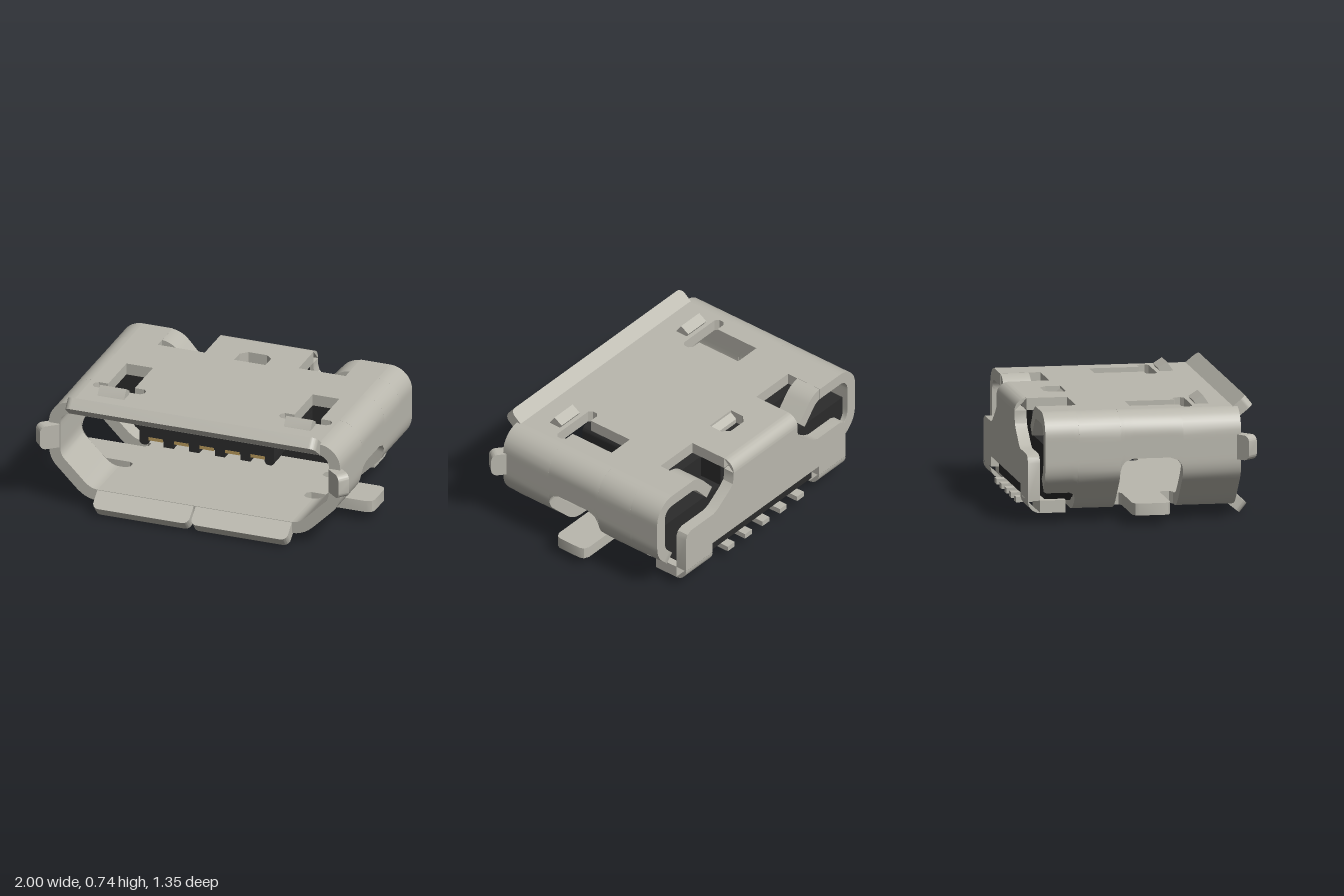
import * as THREE from 'three';
import { toCreasedNormals } from 'three/addons/utils/BufferGeometryUtils.js';

const steel = new THREE.MeshStandardMaterial({ color: 0xbab8ae });
const black = new THREE.MeshStandardMaterial({ color: 0x2b2b2b });
const gold = new THREE.MeshStandardMaterial({ color: 0xb8995a });
const T = 0.072; // sheet thickness

export function createModel() {
  const model = new THREE.Group();
  const add = (name, geo, mat = steel) => {
    const mesh = new THREE.Mesh(toCreasedNormals(geo, 0.5), mat);
    mesh.name = name;
    model.add(mesh);
    return mesh;
  };
  const poly = (pts) => new THREE.Shape(pts.map(([x, y]) => new THREE.Vector2(x, y)));
  const extrude = (shape, depth) =>
    new THREE.ExtrudeGeometry(shape, { depth, bevelEnabled: false, curveSegments: 8 });
  // horizontal plate, outline given as (x, z)
  const slab = (shape, yTop, t) => extrude(shape, t).rotateX(Math.PI / 2).translate(0, yTop, 0);
  // prism along x, outline given as (z, y)
  const prismX = (shape, x0, x1) =>
    extrude(shape, x1 - x0).rotateY(-Math.PI / 2).translate(x1, 0, 0);
  const box = (x0, x1, y0, y1, z0, z1) =>
    new THREE.BoxGeometry(x1 - x0, y1 - y0, z1 - z0)
      .translate((x0 + x1) / 2, (y0 + y1) / 2, (z0 + z1) / 2);
  const mirrored = (pts) => [...pts, ...pts.map(([x, y]) => [-x, y]).reverse()];
  const roundRect = (x0, x1, y0, y1, r) => {
    const s = new THREE.Shape();
    s.absarc(x1 - r, y1 - r, r, 0, Math.PI / 2);
    s.absarc(x0 + r, y1 - r, r, Math.PI / 2, Math.PI);
    s.absarc(x0 + r, y0 + r, r, Math.PI, 1.5 * Math.PI);
    s.absarc(x1 - r, y0 + r, r, 1.5 * Math.PI, 2 * Math.PI);
    return s;
  };

  // top plate with rear cutouts, latch holes and a small centre hole
  const top = poly(mirrored([[0.3, -0.605], [0.3, -0.36], [0.6, -0.36], [0.6, -0.605],
    [0.79, -0.605], [0.79, 0.58]]));
  for (const s of [1, -1]) {
    top.holes.push(poly([[0.51, -0.05], [0.68, -0.05], [0.68, 0.25], [0.74, 0.25], [0.76, 0.27],
      [0.76, 0.3], [0.74, 0.32], [0.45, 0.32], [0.43, 0.3], [0.43, 0.27], [0.45, 0.25],
      [0.51, 0.25]].map(([x, z]) => [x * s, z])));
  }
  top.holes.push(poly([[-0.1, -0.33], [0.1, -0.33], [0.1, -0.42], [0.06, -0.46],
    [-0.06, -0.46], [-0.1, -0.42]]));
  add('topPlate', slab(top, 0.68, T));
  add('centreLance', prismX(poly([[-0.33, 0.665], [-0.33, 0.61], [-0.37, 0.6], [-0.37, 0.635]]), -0.1, 0.1));

  // bent side walls: sections along z, each following the bend down to a given height
  const bend = new THREE.Path();
  bend.moveTo(0.79, 0.68);
  bend.absarc(0.79, 0.54, 0.14, Math.PI / 2, 0, true);
  bend.lineTo(0.93, 0.38);
  bend.quadraticCurveTo(0.93, 0.3, 0.885, 0.255);
  bend.lineTo(0.76, 0.13);
  bend.quadraticCurveTo(0.695, 0.065, 0.62, 0.065);
  const uAtHeight = (y) => {
    if (y <= 0.066) return 1;
    let a = 0, b = 1;
    for (let i = 0; i < 24; i++) {
      const m = (a + b) / 2;
      if (bend.getPointAt(m).y > y) a = m; else b = m;
    }
    return a;
  };
  const drop = [0, 0.08, 0.12, 0.2, 0.26, 0.32];
  const sections = [[0.58, 0], ...drop.map((y) => [0.23, y]),
    [0.222, 0.355], [0.2, 0.385], [0.15, 0.403], [-0.07, 0.403], [-0.12, 0.385], [-0.142, 0.355],
    ...drop.map((y) => [-0.15, y]).reverse(),
    [-0.4, 0], [-0.4, 0.08], [-0.4, 0.14], [-0.41, 0.175], [-0.44, 0.19],
    [-0.58, 0.19], [-0.597, 0.2], [-0.605, 0.225]];
  const N = 30;
  const sideWall = (s) => {
    const pos = [], idx = [], M = 2 * N + 2;
    const tri = (a, b, c) => (s > 0 ? idx.push(a, b, c) : idx.push(a, c, b));
    sections.forEach(([z, y], k) => {
      const uEnd = uAtHeight(y), outer = [], inner = [];
      for (let i = 0; i <= N; i++) {
        const p = bend.getPointAt(uEnd * i / N), t = bend.getTangentAt(uEnd * i / N);
        outer.push([s * p.x, p.y, z]);
        inner.unshift([s * (p.x + T * t.y), p.y - T * t.x, z]);
      }
      pos.push(...outer.flat(), ...inner.flat());
      if (k === 0) return;
      for (let i = 0; i < M; i++) {
        const j = (i + 1) % M, a = (k - 1) * M, b = k * M;
        tri(a + i, a + j, b + j);
        tri(a + i, b + j, b + i);
      }
    });
    const e = (sections.length - 1) * M;
    for (let i = 0; i < N; i++) { // front and rear edges
      const p = M - 1 - i;
      tri(i, p, p - 1); tri(i, p - 1, i + 1);
      tri(e + i, e + p - 1, e + p); tri(e + i, e + i + 1, e + p - 1);
    }
    const g = new THREE.BufferGeometry();
    g.setAttribute('position', new THREE.Float32BufferAttribute(pos, 3));
    g.setIndex(idx);
    return g;
  };

  // bottom plate with solder tabs between rounded slits
  const base = poly(mirrored([[0.62, -0.4], [0.62, -0.15], [0.58, -0.15], [0.555, -0.135],
    [0.555, -0.095], [0.58, -0.08], [0.93, -0.08], [0.96, -0.065], [0.97, -0.04], [0.97, 0.11],
    [0.96, 0.135], [0.93, 0.15], [0.58, 0.15], [0.555, 0.165], [0.555, 0.21], [0.58, 0.23],
    [0.62, 0.23], [0.62, 0.58]]));
  add('bottomPlate', slab(base, 0.065 + T, T));
  for (const z of [-0.13, 0.42]) add('bottomLatchStrip', box(-0.24, 0.24, 0.061, 0.07, z - 0.035, z + 0.035));

  // flared lips around the mouth
  const lip = (w, len, r = 0.04) => {
    const s = new THREE.Shape();
    s.moveTo(-w / 2, 0);
    s.lineTo(w / 2, 0);
    s.absarc(w / 2 - r, len - r, r, 0, Math.PI / 2);
    s.absarc(-w / 2 + r, len - r, r, Math.PI / 2, Math.PI);
    return extrude(s, T).translate(0, 0, -T / 2);
  };
  add('topLip', lip(1.6, 0.125).rotateX(0.89).translate(0, 0.635, 0.555));
  for (const s of [1, -1]) {
    add('sideWall', sideWall(s));
    add('bottomLip', lip(0.615, 0.125).rotateX(Math.PI - 0.89).translate(s * 0.314, 0.108, 0.555));
    add('sideLip', lip(0.15, 0.125).rotateZ(-s * Math.PI / 2).rotateY(-s * 0.7)
      .translate(s * 0.882, 0.455, 0.562));

    // raised latch tips on the top
    const x0 = s > 0 ? 0.51 : -0.68;
    add('latchTip', prismX(poly([[0.43, 0.675], [0.425, 0.685], [0.39, 0.735], [0.335, 0.7],
      [0.35, 0.675], [0.32, 0.62], [0.38, 0.61]]), x0, x0 + 0.17));

    // flap curving down inside each rear cutout
    const flap = new THREE.Shape();
    flap.moveTo(s * 0.62, 0.68);
    flap.quadraticCurveTo(s * 0.54, 0.68, s * 0.49, 0.62);
    flap.lineTo(s * 0.41, 0.53);
    flap.lineTo(s * 0.46, 0.48);
    flap.lineTo(s * 0.54, 0.57);
    flap.quadraticCurveTo(s * 0.57, 0.605, s * 0.62, 0.608);
    add('rearFlap', extrude(flap, 0.17).translate(0, 0, -0.602));
  }

  // rear cover: folded from the top, stepping out to two legs with feet
  const cover = poly(mirrored([[0.5, 0.2], [0.5, 0.135], [0.75, 0.135], [0.75, 0.36], [0.735, 0.395],
    [0.7, 0.41], [0.49, 0.41], [0.45, 0.425], [0.34, 0.5], [0.31, 0.53], [0.3, 0.57], [0.3, 0.606]]));
  add('rearCover', extrude(cover, 0.073).translate(0, 0, -0.678));
  const fold = (cy, a0) => {
    const s = new THREE.Shape();
    s.moveTo(-0.604, cy);
    s.absarc(-0.604, cy, 0.075, a0, a0 + Math.PI / 2);
    return s;
  };
  add('rearFold', prismX(fold(0.605, Math.PI / 2), -0.3, 0.3));
  for (const x of [-0.75, 0.5]) {
    add('footFold', prismX(fold(0.135, Math.PI), x, x + 0.25));
    add('rearFoot', box(x, x + 0.25, 0.06, 0.135, -0.605, -0.45));
  }

  // insulator: full front wall, stepped rear, sill under the cover
  const wall = poly(mirrored([[0.69, 0.14], [0.857, 0.3], [0.857, 0.54], [0.83, 0.59], [0.79, 0.606]]));
  add('insulatorWall', extrude(wall, 0.17).translate(0, 0, -0.42), black);
  const rear = poly(mirrored([[0.69, 0.125], [0.856, 0.29], [0.856, 0.46], [0.29, 0.46], [0.29, 0.6]]));
  add('insulatorRear', extrude(rear, 0.16).translate(0, 0, -0.57), black);
  add('insulatorSill', box(-0.49, 0.49, 0.1, 0.24, -0.63, -0.41), black);

  // tongue with ribs between the contacts
  add('tongue', extrude(roundRect(-0.43, 0.43, 0.425, 0.535, 0.04), 0.65).translate(0, 0, -0.27), black);
  for (const x of [-0.245, -0.082, 0.082, 0.245])
    add('tongueRib', box(x - 0.032, x + 0.032, 0.385, 0.45, -0.27, 0.375), black);
  for (const s of [1, -1]) {
    add('tongueEdge', extrude(roundRect(s * 0.4 - 0.03, s * 0.4 + 0.03, 0.385, 0.5, 0.025), 0.65)
      .translate(0, 0, -0.27), black);
    add('tongueKey', box(s * 0.118 - 0.01, s * 0.118 + 0.01, 0.53, 0.604, -0.27, -0.23), black);
  }

  // contacts and solder pins
  for (let i = -2; i <= 2; i++) {
    const x = i * 0.163;
    add('contact', box(x - 0.046, x + 0.046, 0.418, 0.438, -0.26, 0.382), gold);
    add('solderPin', box(x - 0.032, x + 0.032, 0.062, 0.095, -0.68, -0.43));
    add('pinRiser', box(x - 0.032, x + 0.032, 0.065, 0.13, -0.46, -0.43));
  }
  return model;
}
